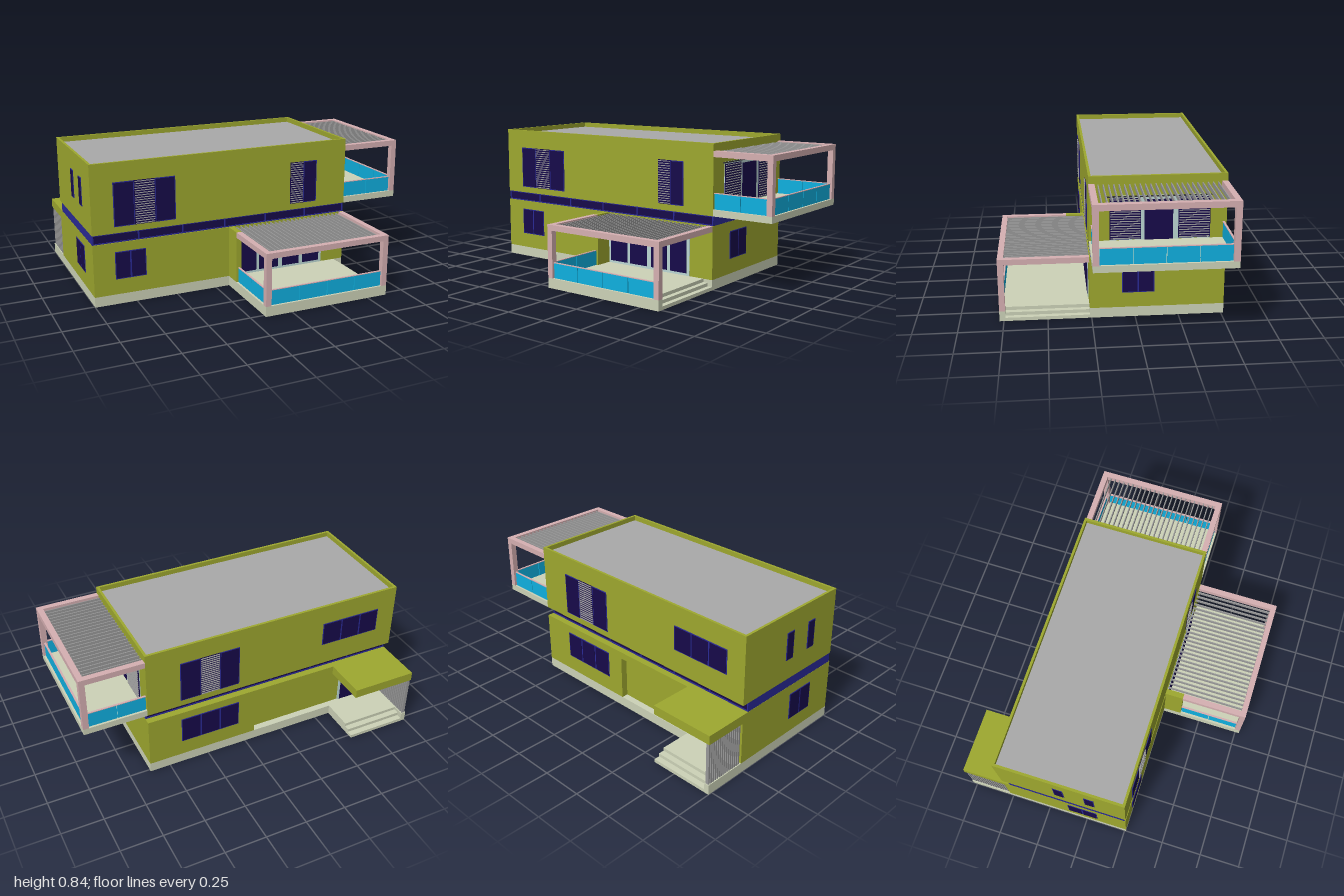
import * as THREE from 'three';

const mat = (color, double = false) => new THREE.MeshStandardMaterial({ color, side: double ? THREE.DoubleSide : THREE.FrontSide });
const OLIVE = mat(0x9ea82f), PINK = mat(0xd6b0b2), PALE = mat(0xcdd3b8), NAVY = mat(0x170a4a), BLUE = mat(0x2a2a96),
  GLASS = mat(0x10b0e0), GREY = mat(0xaaaaaa), SLAT = mat(0x999999), FRAME = mat(0xbcd8d4), DARK = mat(0x333333);

// Box given by its extents on each axis
function box(parent, name, m, x0, x1, y0, y1, z0, z1) {
  const mesh = new THREE.Mesh(new THREE.BoxGeometry(x1 - x0, y1 - y0, z1 - z0), m);
  mesh.position.set((x0 + x1) / 2, (y0 + y1) / 2, (z0 + z1) / 2);
  mesh.name = name;
  parent.add(mesh);
  return mesh;
}

function group(parent, name) {
  const g = new THREE.Group();
  g.name = name;
  parent.add(g);
  return g;
}

// Wall planes: each maps a horizontal wall coordinate to a local frame facing outwards
const WALLS = {
  front: { rot: 0, place: u => [u, 0, 0.26] },
  back: { rot: Math.PI, place: u => [u, 0, -0.515] },
  left: { rot: Math.PI / 2, place: u => [0.625, 0, u] },
  right: { rot: -Math.PI / 2, place: u => [-1, 0, u] },
};

function onWall(parent, name, wall, u) {
  const g = group(parent, name);
  g.position.set(...WALLS[wall].place(u));
  g.rotation.y = WALLS[wall].rot;
  return g;
}

// Louvred panel: horizontal slats over a dark backing, framed by two stiles
function louvre(g, x0, x1, y0, y1, z) {
  box(g, 'louvreBacking', NAVY, x0, x1, y0, y1, z - 0.004, z);
  const n = Math.round((y1 - y0) / 0.014);
  for (let i = 0; i < n; i++) {
    const y = y0 + (i + 0.5) * (y1 - y0) / n;
    box(g, 'louvreSlat', SLAT, x0 + 0.004, x1 - 0.004, y - 0.002, y + 0.002, z, z + 0.006);
  }
}

// Window made of panes side by side; 'g' is glazed and 'l' is louvred
function addWindow(parent, wall, u, width, y0, y1, panes) {
  const g = onWall(parent, 'window', wall, u), w = width / panes.length, t = 0.005;
  [...panes].forEach((kind, i) => {
    const a = -width / 2 + i * w, b = a + w;
    if (kind === 'l') return louvre(g, a, b, y0, y1, 0.002);
    box(g, 'windowFrame', BLUE, a, b, y0, y1, -0.005, 0.003);
    box(g, 'windowPane', NAVY, a + t, b - t, y0 + t, y1 - t, 0, 0.0045);
  });
}

// Row of glass panels with thin joints, along x or z
function glassRail(parent, axis, a, b, at, y0, y1, n) {
  const g = group(parent, 'glassRailing'), w = (b - a) / n, t = 0.004;
  const bar = (name, m, p, q, h0, h1, d) => axis === 'x'
    ? box(g, name, m, p, q, h0, h1, at - d, at + d)
    : box(g, name, m, at - d, at + d, h0, h1, p, q);
  for (let i = 0; i < n; i++) bar('glassPanel', GLASS, a + i * w + 0.002, a + (i + 1) * w - 0.002, y0, y1 - t, t);
  bar('railTop', PINK, a, b, y1 - t, y1, 0.006);
}

function lowerStorey(house) {
  const g = group(house, 'lowerStorey');
  box(g, 'plinth', PALE, -1, 0.625, 0, 0.06, -0.515, 0.26);
  box(g, 'lowerWalls', OLIVE, -1, 0.625, 0.06, 0.373, -0.475, 0.26);
  // Rear wall thickness around the entrance recess
  box(g, 'rearWall', OLIVE, -0.06, 0.625, 0.06, 0.373, -0.515, -0.475);
  box(g, 'rearLintel', OLIVE, -1, -0.06, 0.33, 0.373, -0.515, -0.475);
  box(g, 'rearPier', OLIVE, -1, -0.97, 0.06, 0.33, -0.515, -0.475);
  addWindow(g, 'front', -0.78, 0.185, 0.153, 0.318, 'gg');
  addWindow(g, 'left', -0.017, 0.185, 0.15, 0.315, 'gg');
  addWindow(g, 'right', -0.017, 0.185, 0.15, 0.315, 'gg');
  addWindow(g, 'back', 0.235, 0.37, 0.16, 0.325, 'ggg');
  // Entrance door
  box(g, 'entranceFrame', FRAME, -0.9, -0.68, 0.06, 0.305, -0.48, -0.47);
  box(g, 'entranceDoor', NAVY, -0.885, -0.695, 0.06, 0.29, -0.483, -0.475);
  // Sliding doors to the terrace
  box(g, 'terraceDoorFrame', FRAME, -0.13, 0.47, 0.06, 0.318, 0.255, 0.264);
  for (const [a, b] of [[-0.115, 0.015], [0.035, 0.165], [0.195, 0.31], [0.335, 0.45]])
    box(g, 'terraceDoorPane', NAVY, a, b, 0.075, 0.3, 0.26, 0.267);
}

function windowBand(house) {
  const g = group(house, 'windowBand');
  const x0 = -0.995, x1 = 0.62, z0 = -0.47, z1 = 0.25, y0 = 0.373, y1 = 0.43;
  box(g, 'bandGlass', NAVY, x0, x1, y0, y1, z0, z1);
  const e = 0.004;
  for (const [a, b] of [[y0, y0 + 0.006], [y1 - 0.006, y1]])
    box(g, 'bandFrame', BLUE, x0 - e, x1 + e, a, b, z0 - e, z1 + e);
  for (let i = 0; i <= 6; i++) {
    const x = x0 + (x1 - x0) * i / 6;
    box(g, 'bandMullion', BLUE, x - 0.004, x + 0.004, y0, y1, z0 - e, z1 + e);
  }
  for (const z of [0.025, -0.12, -0.34])
    box(g, 'bandMullion', BLUE, x0 - e, x1 + e, y0, y1, z - 0.003, z + 0.003);
}

function upperStorey(house) {
  const g = group(house, 'upperStorey');
  box(g, 'upperWalls', OLIVE, -1, 0.625, 0.43, 0.805, -0.515, 0.26);
  box(g, 'roofDeck', GREY, -0.985, 0.61, 0.8, 0.812, -0.5, 0.245);
  // Parapet
  for (const [a, b] of [[-0.515, -0.5], [0.245, 0.26]]) box(g, 'parapet', OLIVE, -1, 0.625, 0.805, 0.842, a, b);
  for (const [a, b] of [[-1, -0.985], [0.61, 0.625]]) box(g, 'parapet', OLIVE, a, b, 0.805, 0.842, -0.5, 0.245);
  addWindow(g, 'front', -0.685, 0.37, 0.468, 0.728, 'glg');
  addWindow(g, 'front', 0.333, 0.18, 0.468, 0.728, 'lg');
  addWindow(g, 'back', 0.237, 0.37, 0.468, 0.728, 'glg');
  addWindow(g, 'back', -0.69, 0.38, 0.57, 0.72, 'ggg');
  addWindow(g, 'right', -0.14, 0.06, 0.555, 0.725, 'g');
  addWindow(g, 'right', 0.045, 0.06, 0.555, 0.725, 'g');
  // Balcony door with sliding louvred shutters
  const d = onWall(g, 'balconyDoor', 'left', -0.135);
  box(d, 'doorFrame', FRAME, -0.28, 0.285, 0.47, 0.728, -0.005, 0.004);
  box(d, 'doorPane', NAVY, -0.085, 0.075, 0.47, 0.705, 0, 0.007);
  louvre(d, -0.28, -0.105, 0.475, 0.715, 0.008);
  louvre(d, 0.105, 0.285, 0.475, 0.715, 0.008);
  box(d, 'shutterRail', DARK, -0.3, 0.29, 0.722, 0.728, 0.004, 0.014);
}

function terrace(house) {
  const g = group(house, 'frontTerrace'), t = 0.034;
  // Floor with steps let into the open side
  box(g, 'terraceFloor', PALE, -0.165, 0.565, 0, 0.06, 0.26, 0.775);
  box(g, 'terraceCorner', PALE, 0.565, 0.625, 0, 0.06, 0.741, 0.775);
  box(g, 'terraceStep', PALE, 0.565, 0.595, 0, 0.04, 0.26, 0.741);
  box(g, 'terraceStep', PALE, 0.595, 0.625, 0, 0.02, 0.26, 0.741);
  // Pergola frame
  for (const x of [-0.165, 0.625 - t]) {
    box(g, 'terracePost', PINK, x, x + t, 0.06, 0.34, 0.741, 0.775);
    box(g, 'terraceSideBeam', PINK, x, x + t, 0.34, 0.373, x < 0 ? 0.37 : 0.26, 0.775);
  }
  box(g, 'terraceFrontBeam', PINK, -0.165 + t, 0.625 - t, 0.34, 0.373, 0.741, 0.775);
  box(g, 'terraceWingWall', OLIVE, -0.165, -0.131, 0.06, 0.373, 0.26, 0.37);
  for (let i = 0; i < 25; i++) {
    const x = -0.115 + i * 0.0285;
    box(g, 'pergolaSlat', SLAT, x - 0.003, x + 0.003, 0.345, 0.368, 0.26, 0.741);
  }
  glassRail(g, 'x', -0.131, 0.591, 0.758, 0.06, 0.152, 4);
  glassRail(g, 'z', 0.37, 0.741, -0.148, 0.06, 0.152, 2);
}

function balcony(house) {
  const g = group(house, 'balcony'), t = 0.034;
  box(g, 'balconyFloor', PALE, 0.625, 1, 0.43, 0.468, -0.515, 0.26);
  // Pergola frame
  for (const z of [-0.515, 0.26 - t]) {
    box(g, 'balconyPost', PINK, 1 - t, 1, 0.468, 0.766, z, z + t);
    box(g, 'balconySideBeam', PINK, 0.625, 1, 0.766, 0.8, z, z + t);
    glassRail(g, 'x', 0.625, 1 - t, z + t / 2, 0.468, 0.562, 2);
  }
  box(g, 'balconyFrontBeam', PINK, 1 - t, 1, 0.766, 0.8, -0.515 + t, 0.26 - t);
  glassRail(g, 'z', -0.481, 0.226, 0.983, 0.468, 0.562, 4);
  for (let i = 0; i < 24; i++) {
    const z = -0.46 + i * 0.029;
    box(g, 'pergolaSlat', SLAT, 0.625, 0.966, 0.771, 0.795, z - 0.003, z + 0.003);
  }
}

function porch(house) {
  const g = group(house, 'rearPorch');
  box(g, 'porchCanopy', OLIVE, -1, -0.6, 0.318, 0.373, -0.775, -0.515);
  // Landing and steps down to the back
  [0.06, 0.04, 0.02].forEach((h, i) =>
    box(g, i ? 'porchStep' : 'porchLanding', PALE, -0.97, -0.6, 0, h, -0.705 - i * 0.035, i ? -0.67 - i * 0.035 : -0.515));
  box(g, 'screenBase', PALE, -1, -0.97, 0, 0.06, -0.775, -0.515);
  // Vertical slat screen
  for (let i = 0; i < 15; i++) {
    const z = -0.766 + i * 0.0168;
    box(g, 'screenSlat', SLAT, -0.995, -0.975, 0.06, 0.318, z - 0.005, z + 0.005);
  }
}

export function createModel() {
  const house = new THREE.Group();
  house.name = 'house';
  [lowerStorey, windowBand, upperStorey, terrace, balcony, porch].forEach(build => build(house));
  return house;
}
